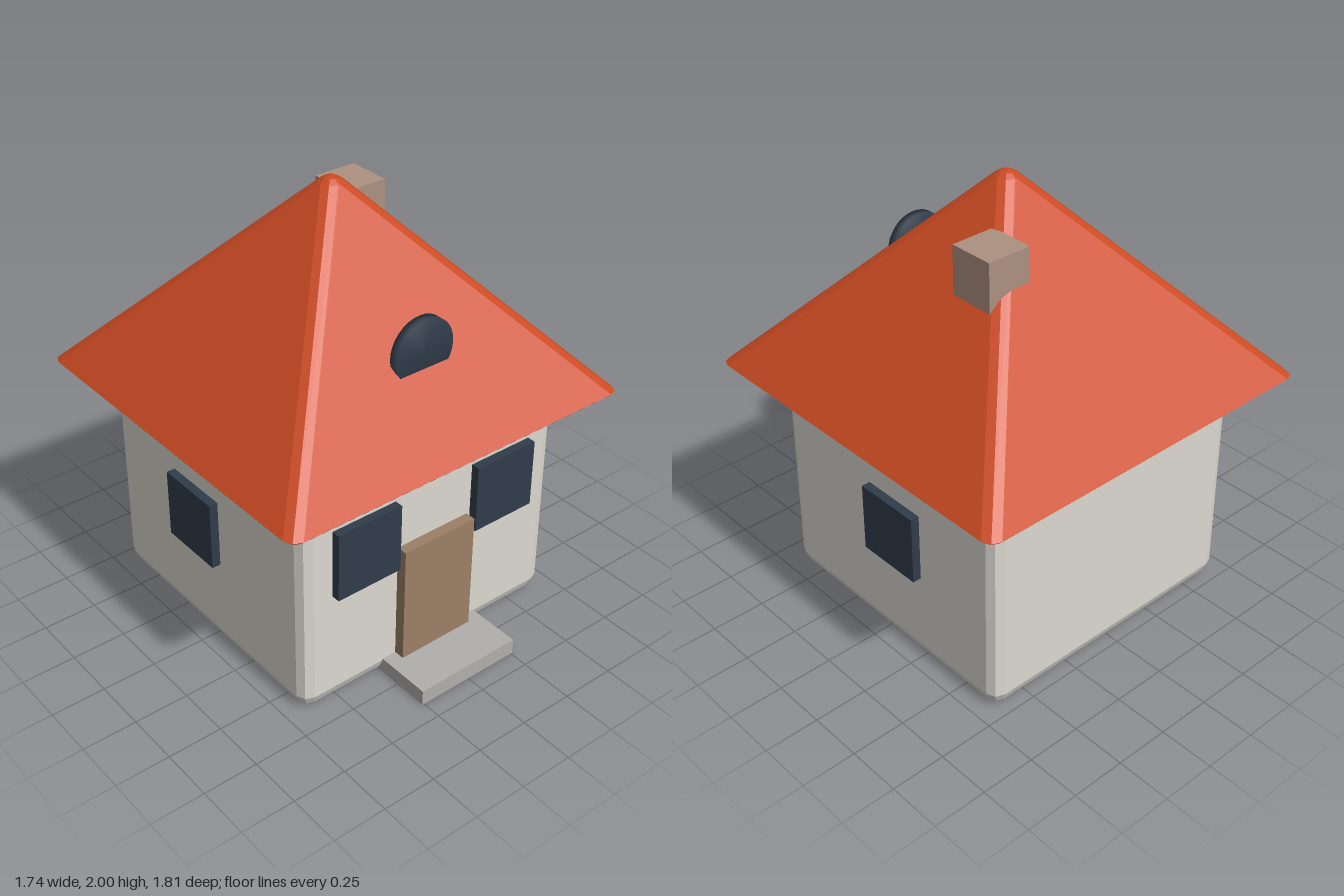
import * as THREE from 'three';
import { mergeVertices } from 'three/addons/utils/BufferGeometryUtils.js';

const CENTER_Z = -0.03;

// Rounded square outline, counter-clockwise seen from above
function squareRing(half, y, radius) {
  const ring = [];
  for (let c = 0; c < 4; c++) {
    for (let s = 0; s <= 2; s++) {
      const a = c * Math.PI / 2 + s * Math.PI / 4;
      const base = (c + 0.5) * Math.PI / 2;
      const k = (half - radius) * Math.SQRT2;
      ring.push([
        Math.cos(base) * k + Math.cos(a) * radius, y,
        -Math.sin(base) * k - Math.sin(a) * radius,
      ]);
    }
  }
  return ring;
}

// Closed solid through stacked outlines [half, y, radius], with a peak point
function stackedSolid(levels, peakY) {
  const rings = levels.map(l => squareRing(...l));
  const n = rings[0].length;
  const pos = rings.flat(2);
  const index = [];
  for (let r = 0; r < rings.length - 1; r++) {
    for (let i = 0; i < n; i++) {
      const j = (i + 1) % n, a = r * n, b = a + n;
      index.push(a + i, a + j, b + j, a + i, b + j, b + i);
    }
  }
  const bottom = rings.length * n, top = bottom + 1;
  pos.push(0, levels[0][1], 0, 0, peakY, 0);
  const last = (rings.length - 1) * n;
  for (let i = 0; i < n; i++) {
    const j = (i + 1) % n;
    index.push(bottom, j, i, top, last + i, last + j);
  }
  const geo = new THREE.BufferGeometry();
  geo.setAttribute('position', new THREE.Float32BufferAttribute(pos, 3));
  geo.setIndex(index);
  geo.computeVertexNormals();
  return geo;
}

export function createModel() {
  const house = new THREE.Group();
  house.name = 'house';
  const mat = (color, flatShading = true) => new THREE.MeshStandardMaterial({ color, flatShading });
  const wall = mat(0xdcd8d0), roofMat = mat(0xcb4a22), wood = mat(0x9c7f66);
  const glass = mat(0x303c4a), brick = mat(0xad9080), stone = mat(0xb0afab);

  const add = (name, geo, material, x = 0, y = 0, z = 0) => {
    const mesh = new THREE.Mesh(geo, material);
    mesh.name = name;
    mesh.position.set(x, y, z);
    house.add(mesh);
    return mesh;
  };
  // Box given by its extents along each axis
  const box = (name, material, [x0, x1], [y0, y1], [z0, z1]) =>
    add(name, new THREE.BoxGeometry(x1 - x0, y1 - y0, z1 - z0), material,
      (x0 + x1) / 2, (y0 + y1) / 2, (z0 + z1) / 2);

  // Walls with bevelled edges
  add('walls', stackedSolid([
    [0.62, 0.003, 0.03], [0.661, 0.021, 0.045], [0.68, 0.065, 0.055], [0.68, 1.1, 0.055],
  ], 1.1), wall, 0, 0, CENTER_Z);

  // Pyramid roof with softened ridges and tip
  add('roof', stackedSolid([
    [0.855, 1.06, 0.045], [0.87, 1.075, 0.055], [0.055, 1.976, 0.05], [0.03, 1.993, 0.028],
  ], 2), roofMat, 0, 0, CENTER_Z);

  box('chimney', brick, [0.17, 0.38], [1.62, 1.84], [-0.35, -0.14]);
  box('door', wood, [-0.19, 0.19], [0.001, 0.635], [0.63, 0.70]);
  box('doorstep', stone, [-0.26, 0.26], [0, 0.073], [0.625, 0.91]);

  // Windows, mirrored left and right
  for (const [side, s] of [['left', 1], ['right', -1]]) {
    const span = (a, b) => [Math.min(s * a, s * b), Math.max(s * a, s * b)];
    box(side + 'FrontWindow', glass, span(0.208, 0.532), [0.555, 0.877], [0.63, 0.69]);
    box(side + 'SideWindow', glass, span(0.66, 0.72), [0.43, 0.752], [-0.25, 0.07]);
  }

  // Round attic window set into the front roof slope, softly shaded
  let disc = new THREE.CylinderGeometry(0.147, 0.147, 0.04, 32).rotateX(Math.PI / 2);
  disc.deleteAttribute('normal');
  disc.deleteAttribute('uv');
  disc = mergeVertices(disc);
  disc.computeVertexNormals();
  add('atticWindow', disc, mat(0x303c4a, false), 0, 1.455, 0.545);

  return house;
}
